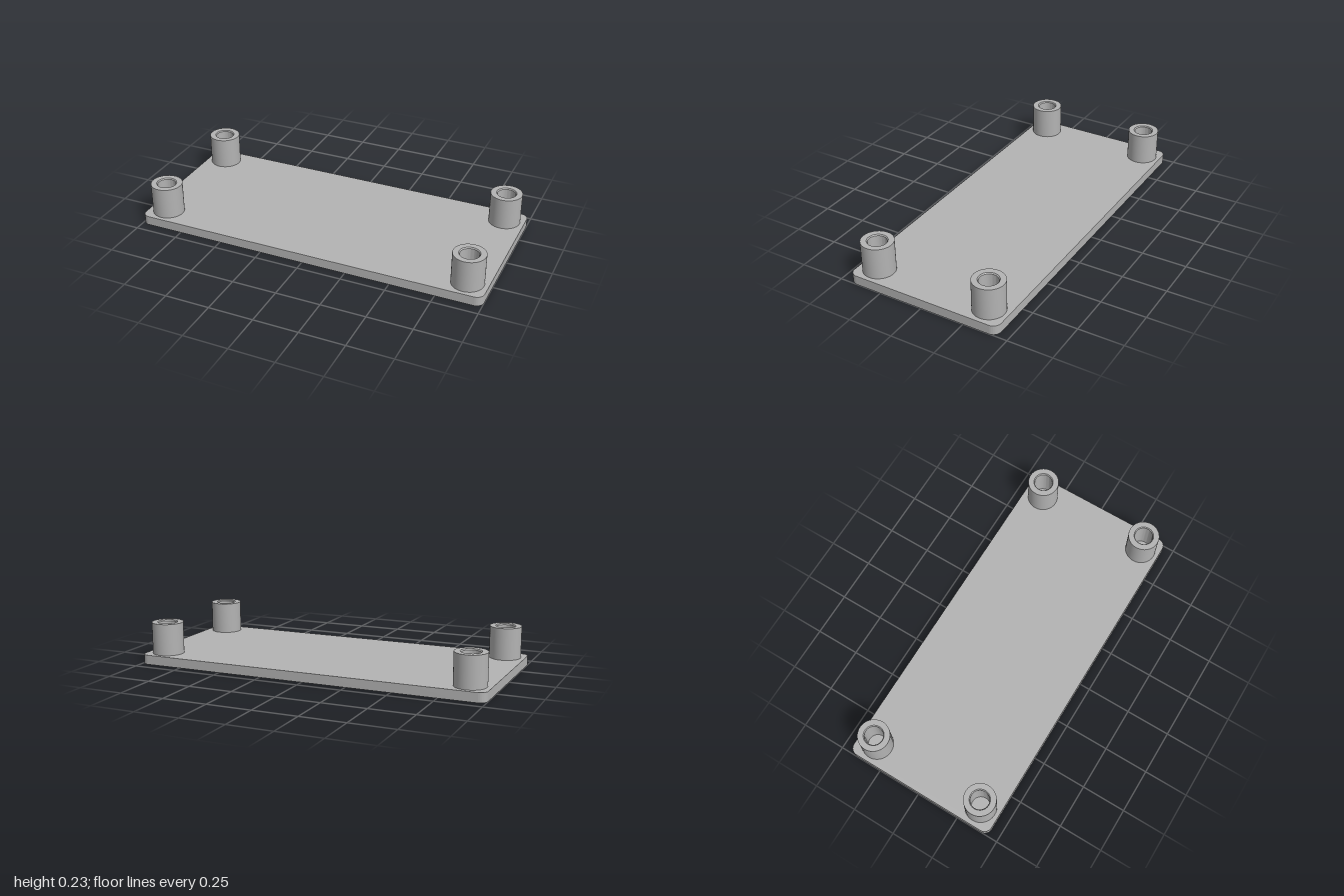
import * as THREE from 'three';
import { toCreasedNormals } from 'three/addons/utils/BufferGeometryUtils.js';

const HALF_X = 1, HALF_Z = 0.443, CORNER = 0.044, PLATE_TOP = 0.053;
const POST_X = 0.888, POST_Z = 0.333, POST_RADIUS = 0.088, POST_TOP = 0.231;

// Flat rectangle with rounded corners, extruded upward
function plateGeometry() {
  const x = HALF_X - CORNER, z = HALF_Z - CORNER;
  const shape = new THREE.Shape();
  shape.absarc(x, z, CORNER, 0, Math.PI / 2);
  shape.absarc(-x, z, CORNER, Math.PI / 2, Math.PI);
  shape.absarc(-x, -z, CORNER, Math.PI, Math.PI * 1.5);
  shape.absarc(x, -z, CORNER, Math.PI * 1.5, Math.PI * 2);
  const geometry = new THREE.ExtrudeGeometry(shape, {
    depth: PLATE_TOP, bevelEnabled: false, curveSegments: 12,
  });
  geometry.rotateX(-Math.PI / 2);
  return toCreasedNormals(geometry, 0.5);
}

// Hollow post with a blind bore and a slightly eased bore mouth
function postGeometry() {
  const profile = [
    [POST_RADIUS, PLATE_TOP],
    [POST_RADIUS, POST_TOP],
    [0.056, POST_TOP],
    [0.051, POST_TOP - 0.006],
    [0.051, PLATE_TOP + 0.002],
    [0, PLATE_TOP + 0.002],
  ].map(([r, y]) => new THREE.Vector2(r, y));
  return toCreasedNormals(new THREE.LatheGeometry(profile, 48), 0.5);
}

export function createModel() {
  const model = new THREE.Group();
  model.name = 'standoffPlate';
  const grey = new THREE.MeshStandardMaterial({ color: 0xb3b3b3 });
  grey.name = 'plain grey';

  const plate = new THREE.Mesh(plateGeometry(), grey);
  plate.name = 'basePlate';
  model.add(plate);

  // One post near each corner
  const geometry = postGeometry();
  for (const [sideName, sx] of [['Left', 1], ['Right', -1]]) {
    for (const [endName, sz] of [['front', 1], ['back', -1]]) {
      const post = new THREE.Mesh(geometry, grey);
      post.name = `${endName}${sideName}Post`;
      post.position.set(sx * POST_X, 0, sz * POST_Z);
      model.add(post);
    }
  }
  return model;
}
